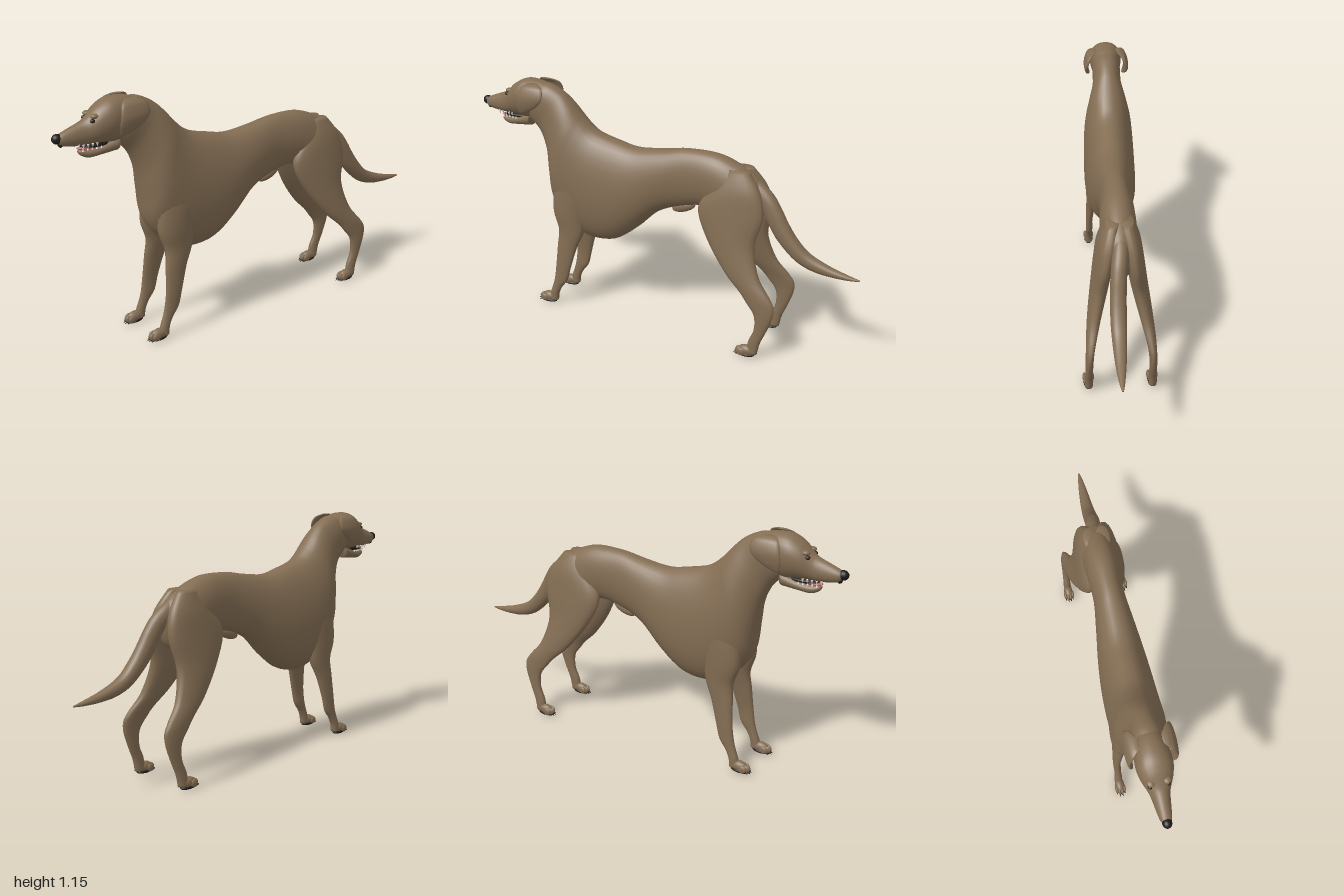
import * as THREE from 'three';

const mat = (name, color) => Object.assign(new THREE.MeshStandardMaterial({ color }), { name });

// Catmull-Rom blend of one number through four stations
function blend(a, b, c, d, t) {
  return 0.5 * (2 * b + (c - a) * t + (2 * a - 5 * b + 4 * c - d) * t * t + (3 * b - a - 3 * c + d) * t * t * t);
}

// Smooth skin through oval sections: [topZ, topY, bottomZ, bottomY, centreX, halfWidth, sag]
function loft(stations, steps = 5, sides = 28) {
  const rows = [], n = stations.length;
  const at = (i) => stations[Math.max(0, Math.min(n - 1, i))];
  for (let i = 0; i < n - 1; i++) {
    for (let s = 0; s < steps; s++) {
      rows.push(at(i).map((_, k) => blend(at(i - 1)[k], at(i)[k], at(i + 1)[k], at(i + 2)[k], s / steps)));
    }
  }
  rows.push(at(n - 1));
  const pos = [], idx = [];
  for (const [tz, ty, bz, by, x, w, sag = 0] of rows) {
    for (let j = 0; j < sides; j++) {
      const a = (j / sides) * Math.PI * 2, c = Math.cos(a), s = Math.sin(a);
      const bulge = Math.sign(s) * Math.pow(Math.abs(s), 0.88) * (1 - sag * c);
      pos.push(x + w * bulge, (ty + by) / 2 + ((ty - by) / 2) * c, (tz + bz) / 2 + ((tz - bz) / 2) * c);
    }
  }
  for (let i = 0; i < rows.length - 1; i++) {
    for (let j = 0; j < sides; j++) {
      const k = (j + 1) % sides, p = i * sides, q = p + sides;
      idx.push(p + j, q + j, p + k, q + j, q + k, p + k);
    }
  }
  // End caps
  const last = (rows.length - 1) * sides, c0 = pos.length / 3;
  for (const r of [rows[0], rows[rows.length - 1]]) pos.push(r[4], (r[1] + r[3]) / 2, (r[0] + r[2]) / 2);
  for (let j = 0; j < sides; j++) {
    const k = (j + 1) % sides;
    idx.push(c0, j, k, c0 + 1, last + k, last + j);
  }
  const g = new THREE.BufferGeometry();
  g.setAttribute('position', new THREE.Float32BufferAttribute(pos, 3));
  g.setIndex(idx);
  g.computeVertexNormals();
  return g;
}

// Level sections for hanging parts: [y, centreZ, radiusZ, centreX, radiusX]
const hanging = (rows, side) => loft(rows.map(([y, z, rz, x, rx]) => [z + rz, y, z - rz, y, x * side, rx, 0]), 5, 20);

export function createModel() {
  const dog = new THREE.Group();
  dog.name = 'dog';
  const fur = mat('brown fur', 0x836d53);
  const black = mat('black nose and claws', 0x1d1a1a);
  const pink = mat('pink tongue', 0xc2606c);
  const white = mat('ivory teeth', 0xe4dfd0);
  const eyeMat = mat('dark eye', 0x2e2218);

  const add = (name, geometry, material, parent = dog) => {
    const m = new THREE.Mesh(geometry, material);
    m.name = name;
    parent.add(m);
    return m;
  };
  const ball = (name, material, x, y, z, rx, ry, rz, parent) => {
    const m = add(name, new THREE.SphereGeometry(1, 16, 12), material, parent);
    m.position.set(x, y, z);
    m.scale.set(rx, ry, rz);
    return m;
  };
  const cone = (name, material, x, y, z, r, h, tilt, parent) => {
    const m = add(name, new THREE.ConeGeometry(r, h, 8), material, parent);
    m.position.set(x, y, z);
    m.rotation.x = tilt;
    return m;
  };

  // Trunk, from rump to throat
  add('bodyAndNeck', loft([
    [-0.53, 0.79, -0.535, 0.72, 0, 0.025, 0],
    [-0.48, 0.84, -0.50, 0.62, 0, 0.06, 0],
    [-0.40, 0.885, -0.37, 0.60, 0, 0.082, 0],
    [-0.29, 0.92, -0.26, 0.655, 0, 0.08, 0],
    [-0.14, 0.92, -0.14, 0.64, 0, 0.074, 0],
    [-0.02, 0.90, 0, 0.585, 0, 0.09, 0.03],
    [0.12, 0.885, 0.12, 0.475, 0, 0.11, 0.06],
    [0.22, 0.903, 0.24, 0.392, 0, 0.121, 0.08],
    [0.31, 0.925, 0.38, 0.382, 0, 0.126, 0.08],
    [0.36, 0.947, 0.50, 0.45, 0, 0.126, 0.08],
    [0.40, 0.98, 0.575, 0.55, 0, 0.122, 0.08],
    [0.43, 1.01, 0.595, 0.68, 0, 0.112, 0.06],
    [0.47, 1.055, 0.613, 0.80, 0, 0.09, 0],
    [0.52, 1.10, 0.65, 0.89, 0, 0.071, 0],
    [0.59, 1.135, 0.70, 0.945, 0, 0.07, 0],
    [0.64, 1.14, 0.72, 0.96, 0, 0.06, 0],
  ], 5, 36), fur);

  // Skull and muzzle
  add('head', loft([
    [0.59, 1.125, 0.68, 0.96, 0, 0.06, 0],
    [0.65, 1.147, 0.73, 0.955, 0, 0.075, 0],
    [0.73, 1.15, 0.765, 0.96, 0, 0.079, -0.05],
    [0.79, 1.123, 0.80, 0.962, 0, 0.068, -0.05],
    [0.835, 1.083, 0.83, 0.963, 0, 0.051, 0],
    [0.865, 1.065, 0.86, 0.962, 0, 0.041, 0.08],
    [0.92, 1.045, 0.91, 0.966, 0, 0.033, 0.08],
    [0.965, 1.027, 0.955, 0.974, 0, 0.025, 0],
    [0.984, 1.015, 0.972, 0.985, 0, 0.014, 0],
  ], 5, 28), fur);
  ball('nose', black, 0, 1.008, 0.976, 0.021, 0.022, 0.024);
  ball('noseGroove', black, 0, 0.985, 0.962, 0.014, 0.016, 0.012);

  // Open mouth
  add('lowerJaw', loft([
    [0.70, 0.985, 0.71, 0.915, 0, 0.045],
    [0.78, 0.955, 0.785, 0.908, 0, 0.037],
    [0.84, 0.944, 0.84, 0.904, 0, 0.029],
    [0.875, 0.945, 0.873, 0.917, 0, 0.018],
    [0.886, 0.94, 0.883, 0.928, 0, 0.007],
  ]), fur);
  ball('mouthLining', black, 0, 0.957, 0.80, 0.034, 0.012, 0.075);
  ball('tongue', pink, 0, 0.95, 0.835, 0.025, 0.009, 0.055);
  for (const s of [1, -1]) {
    for (let i = 0; i < 5; i++) {
      const z = 0.79 + i * 0.02, x = s * (0.034 - i * 0.003);
      cone('upperTooth', white, x, 0.962, z + 0.02, 0.006, i === 4 ? 0.026 : 0.016, Math.PI);
      cone('lowerTooth', white, x * 0.9, 0.95, z, 0.005, i === 4 ? 0.022 : 0.014, 0);
    }
  }

  // Tail, tip to base
  add('tail', loft([
    [-1.0, 0.444, -1.0, 0.438, 0.022, 0.004],
    [-0.94, 0.457, -0.95, 0.433, 0.022, 0.014],
    [-0.85, 0.482, -0.87, 0.433, 0.021, 0.024],
    [-0.755, 0.525, -0.785, 0.443, 0.02, 0.031],
    [-0.695, 0.585, -0.70, 0.478, 0.02, 0.035],
    [-0.65, 0.65, -0.61, 0.56, 0.018, 0.036],
    [-0.615, 0.71, -0.555, 0.64, 0.014, 0.036],
    [-0.575, 0.765, -0.52, 0.70, 0.008, 0.036],
    [-0.51, 0.818, -0.47, 0.73, 0, 0.036],
    [-0.43, 0.858, -0.42, 0.76, 0, 0.03],
  ]), fur);
  const fold = ball('bellyFold', fur, 0, 0.628, -0.125, 0.022, 0.026, 0.065);
  fold.rotation.x = 0.35;

  // Paw with four toes, claws and a dark sole
  const paw = (name, x, z) => {
    const g = new THREE.Group();
    g.name = name;
    g.position.set(x, 0, z);
    dog.add(g);
    ball('pawBody', fur, 0, 0.031, 0.005, 0.023, 0.026, 0.042, g);
    ball('sole', black, 0, 0.011, 0.01, 0.023, 0.011, 0.047, g);
    for (let i = 0; i < 4; i++) {
      const tx = (i - 1.5) * 0.0125, tz = i === 0 || i === 3 ? 0.028 : 0.038;
      ball('toe', fur, tx, 0.025, tz, 0.0085, 0.019, 0.022, g);
      cone('claw', black, tx, 0.013, tz + 0.02, 0.006, 0.022, 2.0, g);
    }
  };

  for (const s of [1, -1]) {
    const side = s > 0 ? 'left' : 'right';
    add(side + 'Ear', hanging([
      [1.143, 0.66, 0.03, 0.06, 0.012],
      [1.125, 0.655, 0.06, 0.083, 0.014],
      [1.08, 0.658, 0.07, 0.1, 0.012],
      [1.04, 0.678, 0.056, 0.099, 0.01],
      [1.01, 0.70, 0.03, 0.091, 0.008],
      [0.995, 0.714, 0.01, 0.086, 0.004],
    ], s), fur);
    ball(side + 'Eye', eyeMat, s * 0.039, 1.068, 0.828, 0.01, 0.009, 0.012);
    ball(side + 'Brow', fur, s * 0.034, 1.086, 0.816, 0.017, 0.011, 0.02);

    add(side + 'FrontLeg', hanging([
      [0.78, 0.43, 0.05, 0.07, 0.03],
      [0.66, 0.44, 0.10, 0.075, 0.048],
      [0.52, 0.462, 0.092, 0.077, 0.049],
      [0.42, 0.456, 0.07, 0.083, 0.036],
      [0.33, 0.478, 0.054, 0.094, 0.025],
      [0.22, 0.499, 0.042, 0.104, 0.018],
      [0.145, 0.515, 0.037, 0.105, 0.018],
      [0.10, 0.538, 0.027, 0.106, 0.017],
      [0.06, 0.555, 0.024, 0.107, 0.019],
      [0.02, 0.562, 0.025, 0.108, 0.02],
    ], s), fur);
    paw(side + 'FrontPaw', s * 0.108, 0.583);

    add(side + 'HindLeg', hanging([
      [0.87, -0.41, 0.05, 0.03, 0.03],
      [0.78, -0.41, 0.115, 0.05, 0.042],
      [0.67, -0.39, 0.16, 0.068, 0.042],
      [0.535, -0.404, 0.118, 0.088, 0.04],
      [0.40, -0.473, 0.084, 0.116, 0.032],
      [0.32, -0.547, 0.072, 0.134, 0.024],
      [0.275, -0.58, 0.067, 0.141, 0.02],
      [0.22, -0.599, 0.045, 0.145, 0.018],
      [0.145, -0.588, 0.03, 0.147, 0.017],
      [0.08, -0.563, 0.029, 0.149, 0.018],
      [0.02, -0.553, 0.026, 0.15, 0.02],
    ], s), fur);
    paw(side + 'HindPaw', s * 0.151, -0.532);
  }
  return dog;
}
